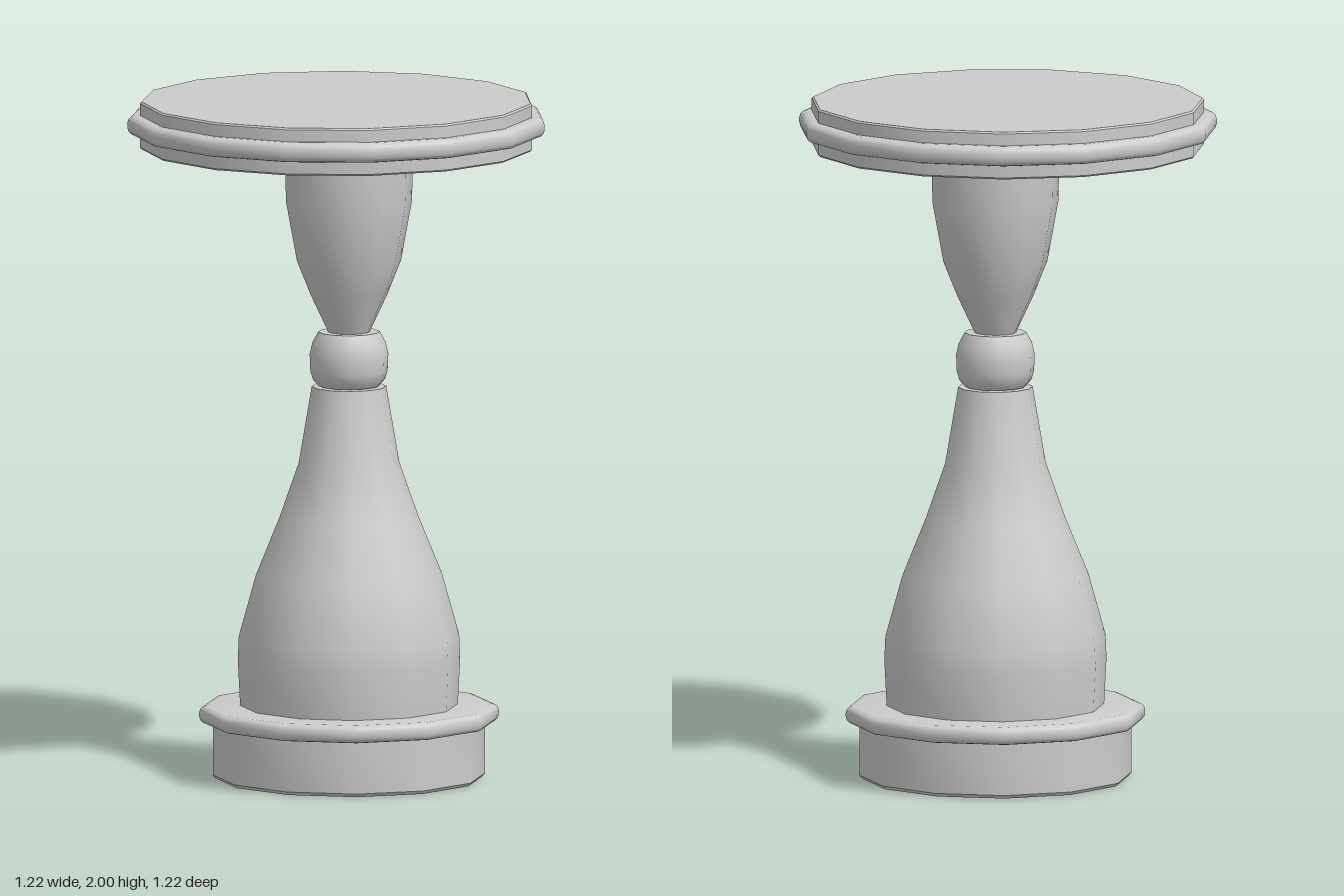
import * as THREE from 'three';
import { toCreasedNormals } from 'three/addons/utils/BufferGeometryUtils.js';

const DEG = Math.PI / 180;
const material = new THREE.MeshStandardMaterial({ color: 0xcccccc, side: THREE.DoubleSide });

// Turned part: profile of [radius, height] points, running with the solid on its left
function turned(name, profile, sides, startDeg) {
  const points = profile.map(([r, y]) => new THREE.Vector2(r, y));
  const lathe = new THREE.LatheGeometry(points, sides, startDeg * DEG);
  const mesh = new THREE.Mesh(toCreasedNormals(lathe, 36 * DEG), material);
  mesh.name = name;
  return mesh;
}

// Bead around a rim: flat top and bottom, rounded corners and a short upright edge
function bead(inner, outer, bottom, top) {
  const corner = (top - bottom) * 0.4;
  const points = [[inner, bottom]];
  for (const [y, from] of [[bottom + corner, -90], [top - corner, 0]]) {
    for (let i = 0; i <= 3; i++) {
      const a = (from + i * 30) * DEG;
      points.push([outer - corner + corner * Math.cos(a), y + corner * Math.sin(a)]);
    }
  }
  points.push([inner, top]);
  return points;
}

export function createModel() {
  const model = new THREE.Group();
  model.name = 'pedestalTable';

  // Round top with a bead around its edge
  const top = new THREE.Group();
  top.name = 'tableTop';
  top.position.set(0.004, 0, 0.002);
  top.add(
    turned('topDisc', [[0, 1.86], [0.571, 1.86], [0.576, 1.865], [0.576, 1.995], [0.571, 2], [0, 2]], 15, 7.8),
    turned('topBead', bead(0.56, 0.613, 1.902, 1.96), 15, 7.8),
  );

  // Pedestal stands slightly off the centre of the top
  const pedestal = new THREE.Group();
  pedestal.name = 'pedestal';
  pedestal.position.set(0.026, 0, -0.026);
  const part = (name, profile) => pedestal.add(turned(name, profile, 12, 19));

  // Hollow foot, open below
  part('foot', [
    [0.26, 0.19], [0.378, 0.19], [0.378, 0.008], [0.383, 0],
    [0.39, 0], [0.398, 0.01], [0.398, 0.19],
  ]);
  part('footBead', bead(0.26, 0.438, 0.163, 0.215));

  // Lower bulb, open at its base
  part('lowerBulb', [
    [0.318, 0.213], [0.325, 0.35], [0.322, 0.42], [0.272, 0.6],
    [0.203, 0.77], [0.147, 0.93], [0.109, 1.155], [0, 1.155],
  ]);

  // Collar between the bulbs
  part('collar', [
    [0, 1.157], [0.09, 1.157], [0.105, 1.175], [0.113, 1.2], [0.115, 1.25],
    [0.107, 1.285], [0.09, 1.316], [0, 1.316],
  ]);

  // Upper stem flaring to the top
  part('upperStem', [
    [0.06, 1.314], [0.112, 1.425], [0.152, 1.525], [0.184, 1.7], [0.188, 1.862],
  ]);

  model.add(top, pedestal);
  return model;
}
